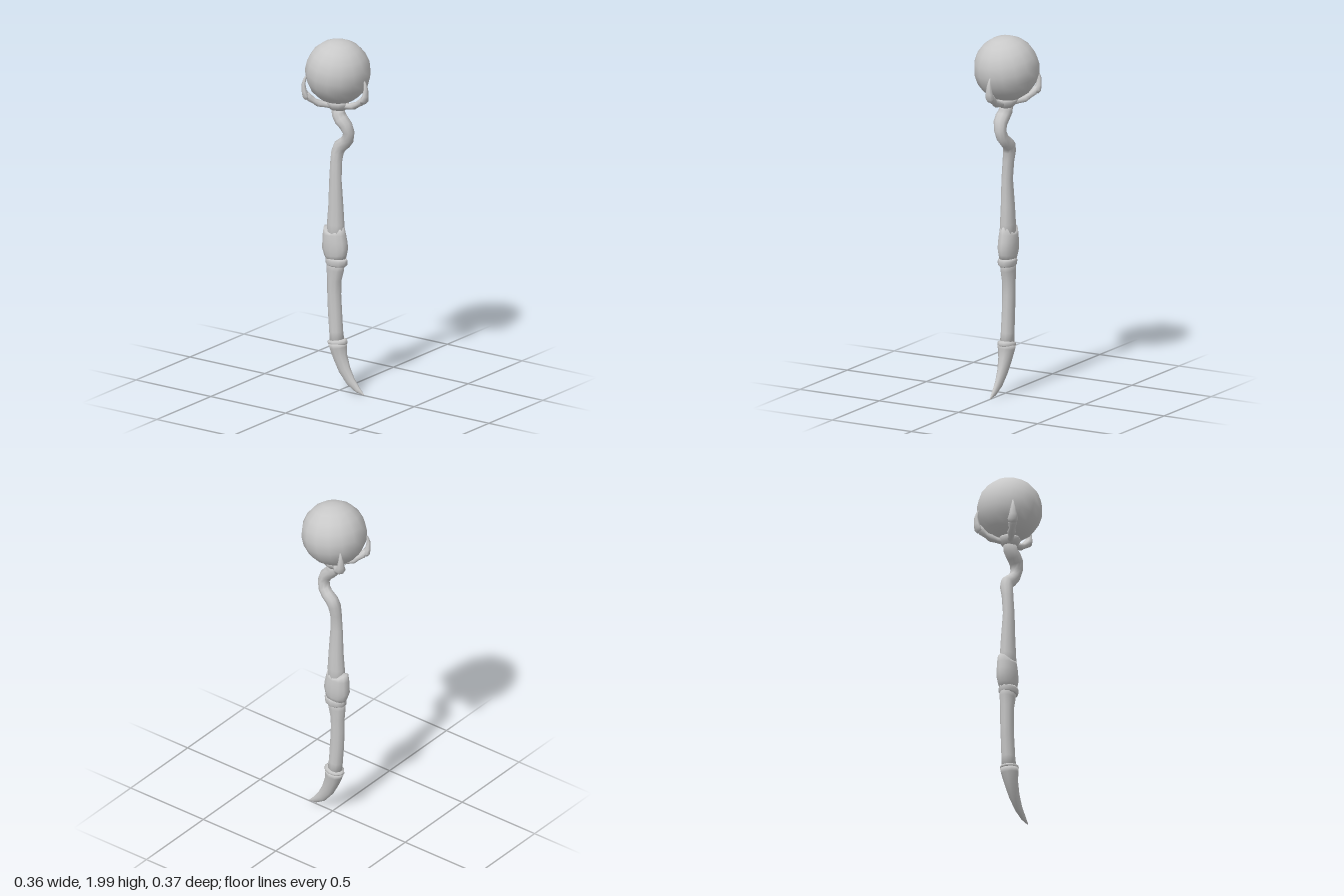
import * as THREE from 'three';
import { mergeVertices } from 'three/addons/utils/BufferGeometryUtils.js';

const bone = new THREE.MeshStandardMaterial({ color: 0xc8c8c8 });
bone.name = 'bone grey';

// Elliptical tube through sections [x, y, z, side radius, depth radius].
// topWave lowers the sides of the last ring to give an arched edge.
function loft(name, sections, { sides = 10, topWave = 0 } = {}) {
  const centres = sections.map(s => new THREE.Vector3(s[0], s[1], s[2]));
  const last = sections.length - 1;
  const pos = [], index = [];
  const xAxis = new THREE.Vector3(1, 0, 0);
  sections.forEach(([, , , rx, rz], i) => {
    const t = centres[Math.min(i + 1, last)].clone().sub(centres[Math.max(i - 1, 0)]);
    t.x = 0;
    const n = xAxis.clone().cross(t.normalize());
    for (let j = 0; j < sides; j++) {
      const a = (j / sides) * Math.PI * 2;
      const p = centres[i].clone()
        .addScaledVector(xAxis, Math.cos(a) * rx)
        .addScaledVector(n, Math.sin(a) * rz);
      if (i === last) p.y -= topWave * (0.5 + 0.5 * Math.cos(2 * a));
      pos.push(p.x, p.y, p.z);
    }
  });
  for (let i = 0; i < last; i++) {
    for (let j = 0; j < sides; j++) {
      const k = (j + 1) % sides;
      const a = i * sides + j, b = i * sides + k, c = a + sides, d = b + sides;
      index.push(a, c, b, b, c, d);
    }
  }
  // End caps
  const s = pos.length / 3;
  pos.push(...centres[0].toArray(), ...centres[last].toArray());
  for (let j = 0; j < sides; j++) {
    const k = (j + 1) % sides;
    index.push(s, j, k, s + 1, last * sides + k, last * sides + j);
  }
  const g = new THREE.BufferGeometry();
  g.setAttribute('position', new THREE.Float32BufferAttribute(pos, 3));
  g.setIndex(index);
  g.computeVertexNormals();
  const mesh = new THREE.Mesh(g, bone);
  mesh.name = name;
  return mesh;
}

export function createModel() {
  const model = new THREE.Group();
  model.name = 'clawStaff';

  // Curved spike at the foot
  model.add(loft('footSpike', [
    [0, 0.008, 0.163, 0.003, 0.003],
    [0, 0.03, 0.122, 0.012, 0.018],
    [0, 0.07, 0.075, 0.018, 0.03],
    [0, 0.13, 0.034, 0.026, 0.038],
    [0, 0.2, 0.004, 0.036, 0.044],
    [0, 0.25, -0.008, 0.045, 0.052],
    [0, 0.275, -0.012, 0.048, 0.058],
  ]));
  model.add(loft('footCollar', [
    [0, 0.268, -0.012, 0.044, 0.054],
    [0, 0.276, -0.012, 0.048, 0.06],
    [0, 0.288, -0.014, 0.047, 0.058],
    [0, 0.294, -0.015, 0.038, 0.046],
  ]));

  // Lower shaft
  model.add(loft('lowerShaft', [
    [0, 0.28, -0.016, 0.039, 0.043],
    [0, 0.34, -0.022, 0.036, 0.041],
    [0, 0.45, -0.03, 0.034, 0.042],
    [0, 0.55, -0.035, 0.035, 0.041],
    [0, 0.63, -0.034, 0.036, 0.042],
    [0, 0.69, -0.029, 0.038, 0.053],
    [0, 0.74, -0.026, 0.041, 0.056],
  ]));

  // Band and swollen sleeve at the middle joint
  model.add(loft('jointBand', [
    [0, 0.715, -0.02, 0.041, 0.058],
    [0, 0.722, -0.02, 0.047, 0.065],
    [0, 0.745, -0.02, 0.048, 0.067],
    [0, 0.758, -0.02, 0.044, 0.062],
  ]));
  model.add(loft('jointSleeve', [
    [0, 0.745, -0.022, 0.041, 0.058],
    [0, 0.775, -0.026, 0.046, 0.07],
    [0, 0.81, -0.029, 0.051, 0.08],
    [0, 0.85, -0.031, 0.05, 0.076],
    [0, 0.89, -0.034, 0.047, 0.071],
    [0, 0.935, -0.036, 0.043, 0.063],
  ], { sides: 12, topWave: 0.035 }));

  // Upper shaft with the hooked neck
  model.add(loft('upperShaft', [
    [0, 0.86, -0.025, 0.044, 0.054],
    [0, 0.95, -0.025, 0.04, 0.052],
    [0, 1.05, -0.024, 0.036, 0.045],
    [-0.004, 1.2, -0.024, 0.029, 0.037],
    [0.003, 1.3, -0.025, 0.031, 0.034],
    [0.012, 1.355, -0.022, 0.036, 0.035],
    [0.018, 1.392, -0.008, 0.034, 0.038],
    [0.017, 1.418, 0.025, 0.032, 0.036],
    [0.01, 1.445, 0.05, 0.032, 0.034],
    [0.002, 1.485, 0.06, 0.034, 0.033],
    [-0.006, 1.525, 0.046, 0.039, 0.036],
    [-0.008, 1.553, 0.018, 0.041, 0.038],
    [-0.003, 1.58, -0.004, 0.038, 0.039],
    [0, 1.62, -0.01, 0.034, 0.042],
  ]));

  // Palm under the orb
  model.add(loft('palm', [
    [0, 1.605, -0.01, 0.035, 0.042],
    [0, 1.62, -0.01, 0.05, 0.055],
    [0, 1.642, -0.01, 0.062, 0.065],
    [0, 1.655, -0.01, 0.055, 0.058],
  ]));

  // Three jointed fingers, each ending in a claw
  [0, 1, 2].forEach(i => {
    const finger = new THREE.Group();
    finger.name = ['frontFinger', 'backLeftFinger', 'backRightFinger'][i];
    finger.position.z = -0.01;
    finger.rotation.y = [0, 1, -1][i] * 2.43;
    finger.add(loft('fingerBone', [
      [0, 1.632, 0.03, 0.024, 0.022],
      [0, 1.634, 0.07, 0.016, 0.016],
      [0, 1.643, 0.105, 0.024, 0.021],
      [0, 1.655, 0.128, 0.017, 0.016],
      [0, 1.675, 0.155, 0.024, 0.02],
      [0, 1.7, 0.174, 0.021, 0.016],
    ], { sides: 8 }));
    finger.add(loft('claw', [
      [0, 1.675, 0.165, 0.022, 0.018],
      [0, 1.69, 0.175, 0.029, 0.022],
      [0, 1.715, 0.184, 0.022, 0.016],
      [0, 1.755, 0.187, 0.015, 0.011],
      [0, 1.785, 0.18, 0.008, 0.007],
      [0, 1.812, 0.167, 0.002, 0.002],
    ], { sides: 6 }));
    model.add(finger);
  });

  // Orb, coarse in outline and smooth in shading
  const orbShape = new THREE.SphereGeometry(0.18, 15, 10);
  orbShape.deleteAttribute('uv');
  const orb = new THREE.Mesh(mergeVertices(orbShape), bone);
  orb.name = 'orb';
  orb.position.set(0, 1.822, -0.01);
  orb.rotation.set(0.12, 0.3, 0.1);
  model.add(orb);

  return model;
}
